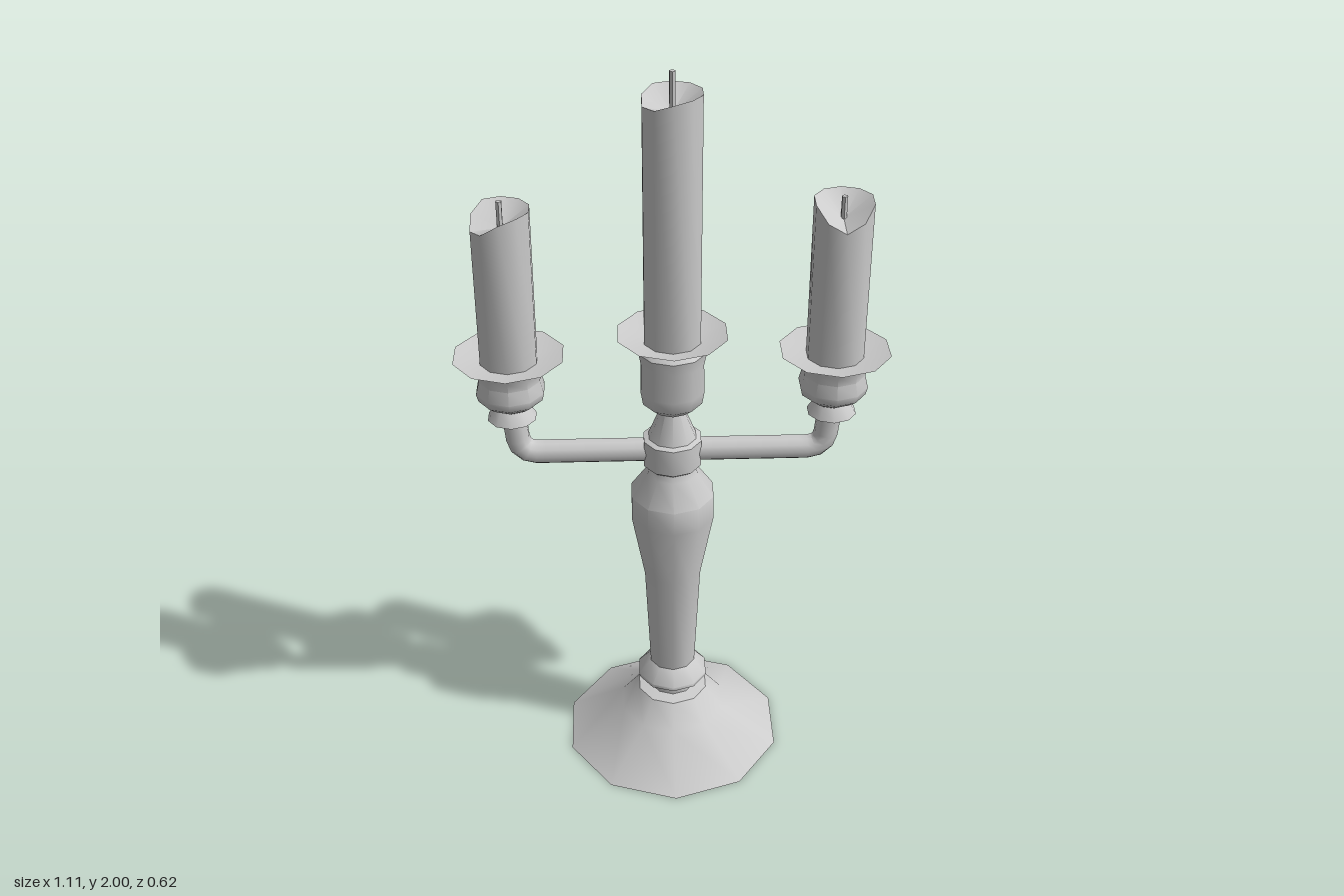
import * as THREE from 'three';
import { toCreasedNormals } from 'three/addons/utils/BufferGeometryUtils.js';

const SIDES = 10;
const ARM_X = 0.415;
const material = new THREE.MeshStandardMaterial({ color: 0xcccccc, side: THREE.DoubleSide });

function addMesh(parent, name, geometry) {
  const mesh = new THREE.Mesh(toCreasedNormals(geometry, 0.7), material);
  mesh.name = name;
  parent.add(mesh);
  return mesh;
}

// Ten-sided turning from [radius, height] pairs, bottom to top
function turned(points) {
  return new THREE.LatheGeometry(points.map(([r, y]) => new THREE.Vector2(r, y)), SIDES);
}

// Candle with a hollow top whose rim has melted down towards one side
function addCandle(parent, name, x, bottom, top, dip, lowAngle, wickTop) {
  const group = new THREE.Group();
  group.name = name;
  group.position.x = x;
  parent.add(group);

  const sink = top - 0.05;
  const geometry = turned([[0, bottom], [0.075, bottom], [0.075, top], [0, sink]]);
  const pos = geometry.attributes.position;
  for (let i = 2; i < pos.count; i += 4) {
    const angle = Math.atan2(pos.getX(i), pos.getZ(i));
    const melt = Math.max(0, Math.cos(angle - lowAngle)) ** 2;
    pos.setY(i, top - dip * melt);
  }
  addMesh(group, 'wax', geometry);

  const wick = new THREE.CylinderGeometry(0.008, 0.008, wickTop - sink + 0.01, 6);
  wick.translate(0, (wickTop + sink - 0.01) / 2, 0);
  addMesh(group, 'wick', wick);
}

export function createModel() {
  const model = new THREE.Group();
  model.name = 'candelabrum';

  // Flared hollow foot
  addMesh(model, 'foot', turned([
    [0.31, 0], [0.15, 0.1], [0.1, 0.165], [0.065, 0.17],
  ]));

  // Baluster column, arm collar and tapered neck
  addMesh(model, 'column', turned([
    [0.065, 0.17], [0.065, 0.195], [0.1, 0.212], [0.1, 0.222], [0.065, 0.262],
    [0.08, 0.58], [0.115, 0.77], [0.115, 0.84], [0.07, 0.905], [0.066, 0.925],
    [0.079, 0.935], [0.079, 1.01], [0.065, 1.015], [0.03, 1.1], [0.03, 1.12],
  ]));

  // Central socket and drip pan
  addMesh(model, 'centreSocket', turned([
    [0, 1.1], [0.05, 1.1], [0.08, 1.125], [0.086, 1.16], [0.084, 1.24],
    [0.091, 1.275], [0.08, 1.285], [0.145, 1.32], [0.075, 1.3], [0, 1.3],
  ]));
  addCandle(model, 'centreCandle', 0, 1.29, 1.95, 0.028, -Math.PI / 3, 2);

  for (const side of [1, -1]) {
    const sideName = side > 0 ? 'left' : 'right';

    // Arm runs out level, then turns upward
    const path = new THREE.CurvePath();
    const a = new THREE.Vector3(side * 0.05, 0.972, 0);
    const b = new THREE.Vector3(side * 0.35, 0.972, 0);
    const corner = new THREE.Vector3(side * 0.405, 0.972, 0);
    const c = new THREE.Vector3(side * 0.405, 1.03, 0);
    const d = new THREE.Vector3(side * ARM_X, 1.11, 0);
    path.add(new THREE.LineCurve3(a, b));
    path.add(new THREE.QuadraticBezierCurve3(b, corner, c));
    path.add(new THREE.LineCurve3(c, d));
    addMesh(model, sideName + 'Arm', new THREE.TubeGeometry(path, 20, 0.032, 10));

    // Flared knop, cup and drip pan
    const socket = addMesh(model, sideName + 'Socket', turned([
      [0.025, 1.085], [0.065, 1.082], [0.045, 1.115], [0.065, 1.128],
      [0.086, 1.145], [0.091, 1.165], [0.082, 1.2], [0.085, 1.225],
      [0.09, 1.24], [0.145, 1.265], [0.075, 1.25], [0, 1.25],
    ]));
    socket.position.x = side * ARM_X;
  }

  addCandle(model, 'leftCandle', ARM_X, 1.24, 1.678, 0.06, 0, 1.685);
  addCandle(model, 'rightCandle', -ARM_X, 1.24, 1.665, 0.05, -Math.PI / 3, 1.685);

  return model;
}
